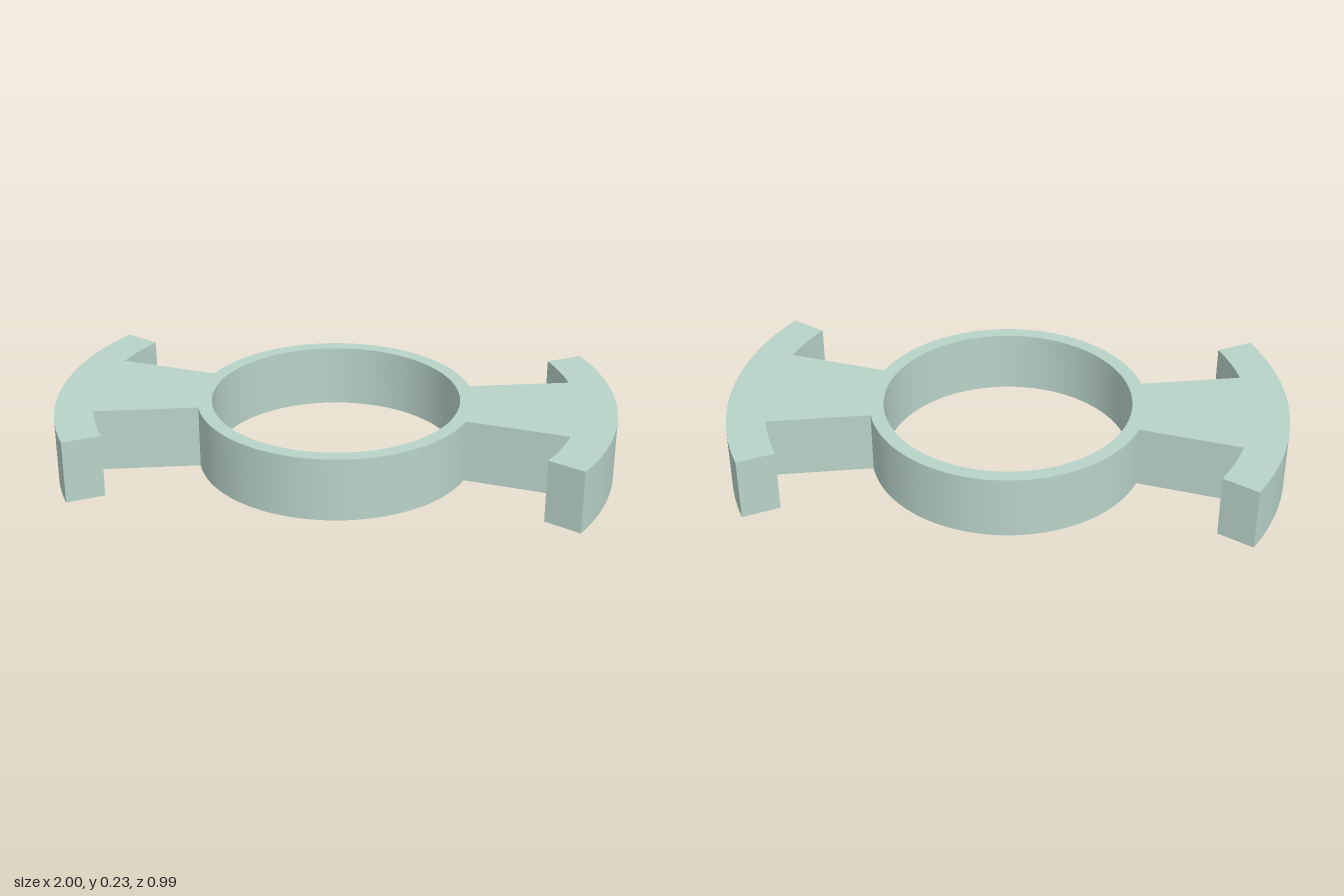
import * as THREE from 'three';
import { toCreasedNormals } from 'three/addons/utils/BufferGeometryUtils.js';

const HEIGHT = 0.23;
const HOLE_R = 0.445, RING_R = 0.496;   // central ring
const PAD_IN = 0.862, PAD_OUT = 1;      // curved end pads
const ROOT = Math.atan2(0.15, 0.473);   // half angle where a spoke leaves the ring
const NECK = Math.atan2(0.226, 0.832);  // half angle where a spoke meets its pad
const TIP = Math.atan2(0.48, 0.876);    // half angle of a pad

export function createModel() {
  const group = new THREE.Group();
  group.name = 'ringWithPaddles';

  // Outline: each half turn is one spoke with its pad, then an arc of the ring.
  // absarc joins each arc to the previous one with a straight edge.
  const outline = new THREE.Shape();
  for (const turn of [0, Math.PI]) {
    const arc = (r, from, to, clockwise = false) =>
      outline.absarc(0, 0, r, turn + from, turn + to, clockwise);
    arc(PAD_IN, -NECK, -TIP, true);
    arc(PAD_OUT, -TIP, TIP);
    arc(PAD_IN, TIP, NECK, true);
    arc(RING_R, ROOT, Math.PI - ROOT);
  }
  outline.closePath();

  // Round bore through the ring
  const bore = new THREE.Path();
  bore.absarc(0, 0, HOLE_R, 0, Math.PI * 2, true);
  outline.holes.push(bore);

  const geometry = new THREE.ExtrudeGeometry(outline, {
    depth: HEIGHT, bevelEnabled: false, curveSegments: 48,
  });
  geometry.rotateX(-Math.PI / 2);

  const body = new THREE.Mesh(
    toCreasedNormals(geometry, Math.PI / 7),
    new THREE.MeshStandardMaterial({ color: 0xb9d3c9 }),
  );
  body.name = 'ringAndPaddles';
  group.add(body);
  return group;
}
